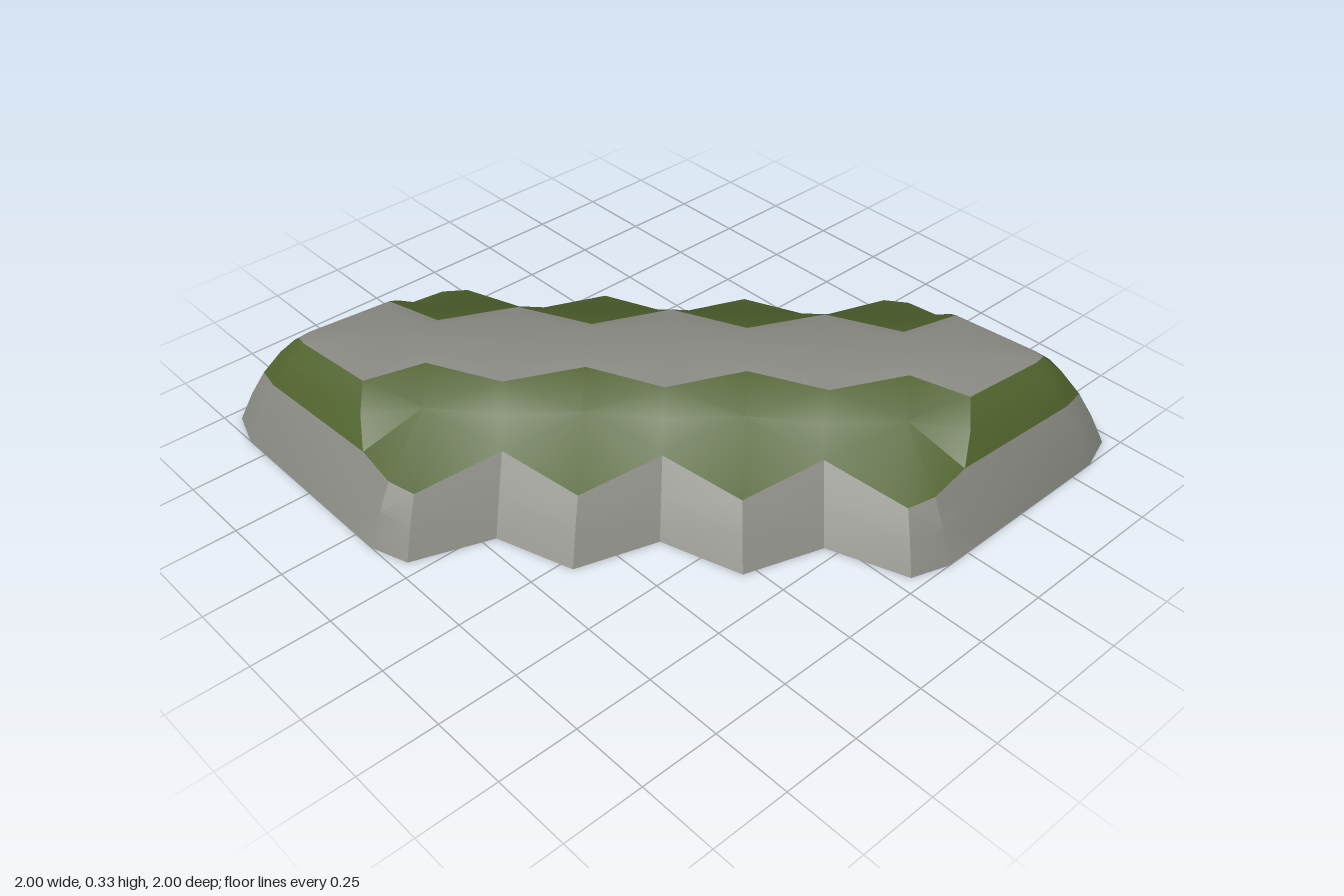
import * as THREE from 'three';
import { toCreasedNormals } from 'three/addons/utils/BufferGeometryUtils.js';

const V = (x, y, z) => new THREE.Vector3(x, y, z);

// Sections from one corner to the middle tooth valley.
// Each: foot [x,z], ledge [x,y,z], shoulder [x,y,z], rim [x,z]
const SECTIONS = [
  [[-.96, -.96], [-.89, .185, -.89], [-.845, .265, -.845], [-.80, -.80]],   // corner
  [[-.84, -1.0], [-.80, .195, -.91], [-.78, .27, -.865], [-.76, -.805]],
  [[-.34, -1.0], [-.34, .195, -.89], [-.415, .265, -.84], [-.48, -.78]],    // valley
  [[-.17, -1.0], [-.20, .175, -.90], [-.31, .27, -.69], [-.43, -.59]],
  [[-.05, -.96], [-.12, .16, -.87], [-.31, .27, -.69], [-.43, -.59]],       // tooth
  [[.04, -.71], [-.07, .195, -.59], [-.135, .265, -.535], [-.20, -.48]],    // valley
  [[.29, -.63], [.20, .16, -.53], [.02, .27, -.36], [-.09, -.25]],          // tooth
  [[.37, -.37], [.26, .195, -.26], [.20, .265, -.20], [.145, -.145]],       // middle valley
];

// Full column of points, from the foot up to the spine
function column([foot, ledge, shoulder, rim]) {
  const a = V(foot[0], 0, foot[1]);
  const b = V(...ledge);
  const mid = a.clone().lerp(b, 0.5);
  mid.y += 0.01;
  const r = V(rim[0], 0.32, rim[1]);
  const t = THREE.MathUtils.clamp((r.x + r.z) / 2, -0.6, 0.6);
  const spine = V(t, 0.333, t);
  const inset = r.clone().lerp(spine, 0.3);
  inset.y = 0.331;
  return [a, mid, b, V(...shoulder), r, inset, spine];
}

// Mirror across the diagonal, then repeat by a half turn
function perimeter() {
  const quarter = SECTIONS.map(column);
  const mirrored = quarter.slice(1, -1).reverse()
    .map(col => col.map(p => V(-p.z, p.y, -p.x)));
  const half = [...quarter, ...mirrored];
  const turned = half.map(col => col.map(p => V(-p.x, p.y, -p.z)));
  return [...half, ...turned];
}

// Skin the rings from..to, splitting each quad on its shorter diagonal
function band(columns, from, to, crease) {
  const out = [];
  const tri = (a, b, c) => {
    const area = b.clone().sub(a).cross(c.clone().sub(a)).length();
    if (area > 1e-6) for (const p of [a, b, c]) out.push(p.x, p.y, p.z);
  };
  columns.forEach((col, i) => {
    const next = columns[(i + 1) % columns.length];
    for (let k = from; k < to; k++) {
      const a = col[k], b = col[k + 1], c = next[k + 1], d = next[k];
      if (a.distanceTo(c) <= b.distanceTo(d)) {
        tri(a, b, c);
        tri(a, c, d);
      } else {
        tri(a, b, d);
        tri(b, c, d);
      }
    }
  });
  const geometry = new THREE.BufferGeometry();
  geometry.setAttribute('position', new THREE.Float32BufferAttribute(out, 3));
  return toCreasedNormals(geometry, crease);
}

export function createModel() {
  const stone = new THREE.MeshStandardMaterial({ color: 0x888882, side: THREE.DoubleSide });
  stone.name = 'stone grey';
  const moss = new THREE.MeshStandardMaterial({ color: 0x4f612c, side: THREE.DoubleSide });
  moss.name = 'moss green';

  const group = new THREE.Group();
  group.name = 'rockRidge';
  const columns = perimeter();
  const add = (name, from, to, material, crease) => {
    const mesh = new THREE.Mesh(band(columns, from, to, crease), material);
    mesh.name = name;
    group.add(mesh);
  };
  add('stoneFoot', 0, 2, stone, 0.35);
  add('mossSlope', 2, 4, moss, 0.4);
  add('stoneTop', 4, 6, stone, 0.6);
  return group;
}
